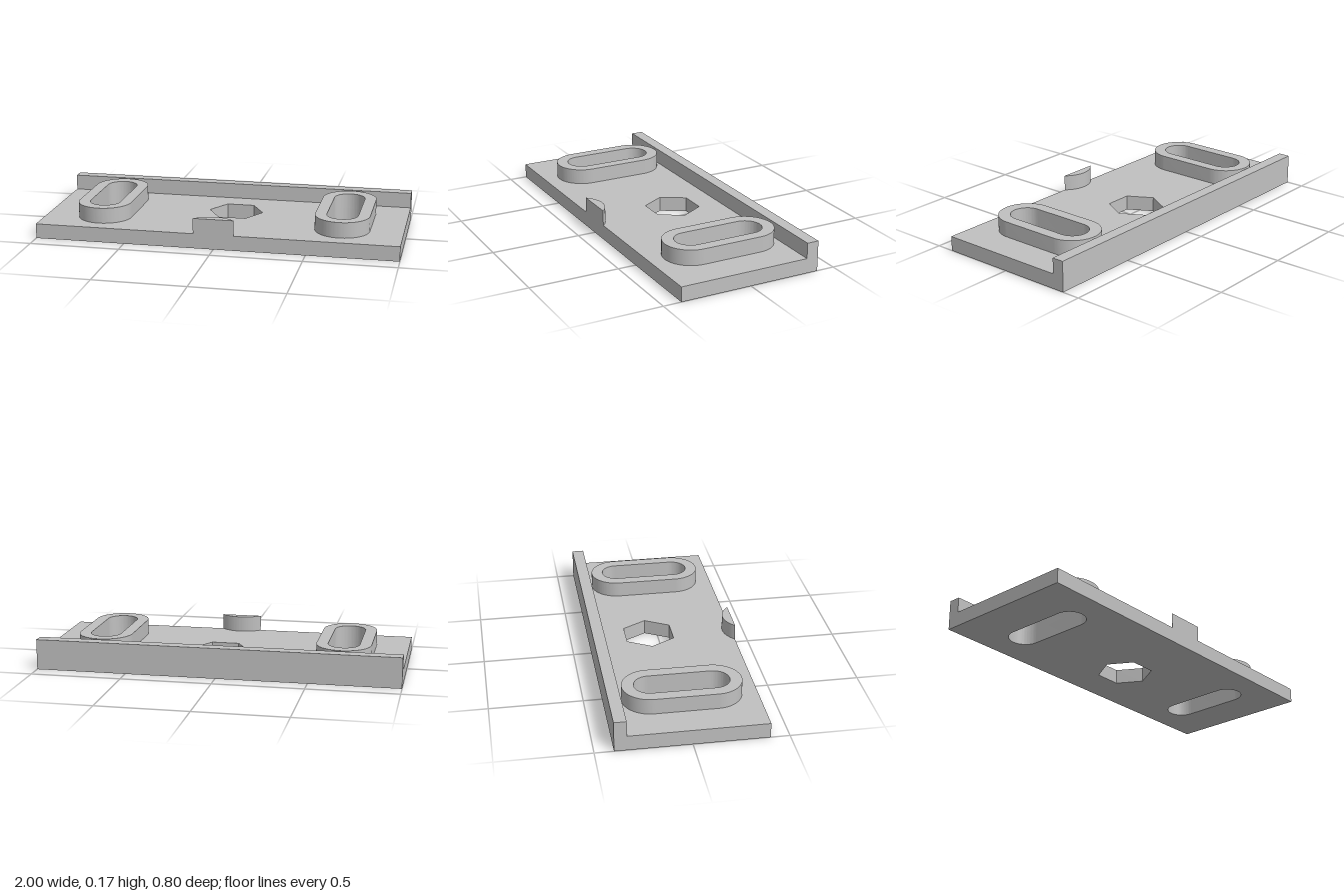
import * as THREE from 'three';
import { toCreasedNormals } from 'three/addons/utils/BufferGeometryUtils.js';

const PLATE = 0.082, TOP = 0.168;      // plate thickness and overall height
const SLOT_X = 0.667, SLOT_HALF = 0.167; // slot centre and half its straight run
const SLOT_R = 0.086, RIM_R = 0.15;

// Rounded slot outline running along z (shape y is -z)
function slot(path, cx, r) {
  path.moveTo(cx + r, -SLOT_HALF);
  path.lineTo(cx + r, SLOT_HALF);
  path.absarc(cx, SLOT_HALF, r, 0, Math.PI, false);
  path.lineTo(cx - r, -SLOT_HALF);
  path.absarc(cx, -SLOT_HALF, r, Math.PI, Math.PI * 2, false);
  return path;
}

function rectangle(x0, z0, x1, z1) {
  return new THREE.Shape([[x0, -z1], [x1, -z1], [x1, -z0], [x0, -z0]]
    .map(([x, y]) => new THREE.Vector2(x, y)));
}

export function createModel() {
  const model = new THREE.Group();
  model.name = 'mountingPlate';
  const grey = new THREE.MeshStandardMaterial({ color: 0xc0c0c0 });
  grey.name = 'lightGrey';

  // Extrude a plan outline upwards from y0 to y1
  function add(name, shape, y0, y1) {
    let geo = new THREE.ExtrudeGeometry(shape, { depth: y1 - y0, bevelEnabled: false, curveSegments: 32 });
    geo.rotateX(-Math.PI / 2);
    geo.translate(0, y0, 0);
    geo = toCreasedNormals(geo, 0.5);
    const mesh = new THREE.Mesh(geo, grey);
    mesh.name = name;
    model.add(mesh);
  }

  // Base plate with two slots and an off-centre hexagonal hole
  const plate = rectangle(-1, -0.4, 1, 0.4);
  for (const s of [-1, 1]) plate.holes.push(slot(new THREE.Path(), s * SLOT_X, SLOT_R));
  const hex = [];
  for (let i = 0; i < 6; i++) {
    const a = i * Math.PI / 3;
    hex.push(new THREE.Vector2(0.033 + 0.152 * Math.cos(a), 0.069 + 0.152 * Math.sin(a)));
  }
  plate.holes.push(new THREE.Path(hex));
  add('basePlate', plate, 0, PLATE);

  // Raised rims around the slots
  for (const [name, s] of [['leftSlotRim', 1], ['rightSlotRim', -1]]) {
    const rim = slot(new THREE.Shape(), s * SLOT_X, RIM_R);
    rim.holes.push(slot(new THREE.Path(), s * SLOT_X, SLOT_R));
    add(name, rim, PLATE, TOP);
  }

  // Lip along the back edge
  add('backLip', rectangle(-1, -0.4, 1, -0.334), PLATE, TOP);

  // Stop at the front edge: a circle segment cut flush with the plate
  const a = Math.acos(0.1 / 0.15);
  const stop = new THREE.Shape();
  stop.absarc(0, -0.5, 0.15, Math.PI / 2 - a, Math.PI / 2 + a, false);
  stop.closePath();
  add('frontStop', stop, PLATE, TOP);

  return model;
}
